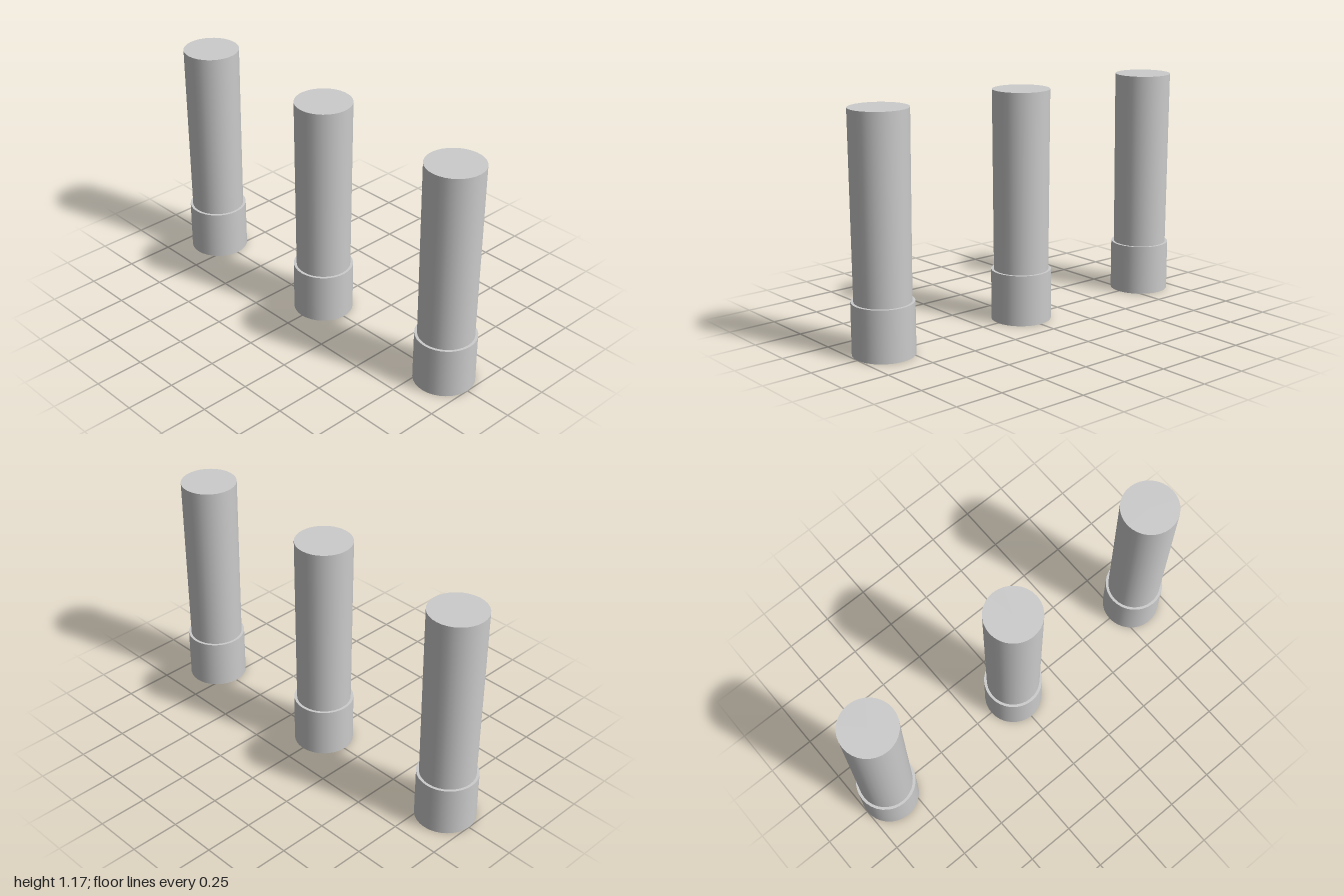
import * as THREE from 'three';

export function createModel() {
  const model = new THREE.Group();
  const material = new THREE.MeshStandardMaterial({ color: 0xcccccc });
  const baseHeight = 0.26, totalHeight = 1.175, spacing = 0.848;

  // Short wide base, and a tall body that widens slightly towards the top
  const baseGeometry = new THREE.CylinderGeometry(0.152, 0.152, baseHeight, 32);
  baseGeometry.translate(0, baseHeight / 2, 0);
  const bodyHeight = totalHeight - baseHeight;
  const bodyGeometry = new THREE.CylinderGeometry(0.144, 0.138, bodyHeight, 32);
  bodyGeometry.translate(0, baseHeight + bodyHeight / 2, 0);

  // Three identical posts in a row
  ['rightPost', 'middlePost', 'leftPost'].forEach((name, i) => {
    const post = new THREE.Group();
    post.name = name;
    const base = new THREE.Mesh(baseGeometry, material);
    base.name = 'base';
    const body = new THREE.Mesh(bodyGeometry, material);
    body.name = 'body';
    post.add(base, body);
    post.position.x = (i - 1) * spacing;
    model.add(post);
  });

  return model;
}
